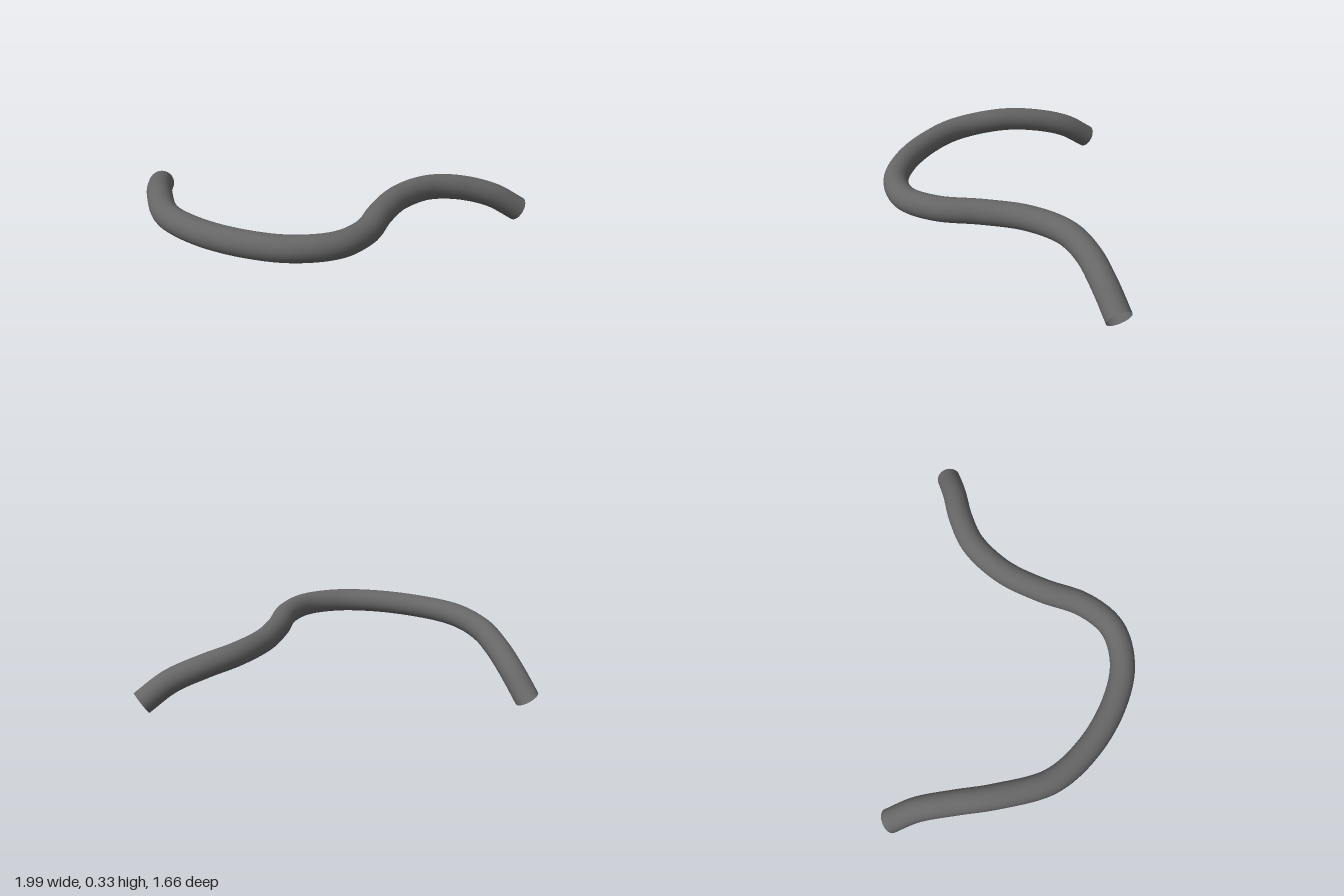
import * as THREE from 'three';

export function createModel() {
  const model = new THREE.Group();
  const darkGrey = new THREE.MeshStandardMaterial({ color: 0x666666, side: THREE.DoubleSide });
  darkGrey.name = 'dark grey';

  // Centre line: an S lying level, with both ends drooping to the ground
  const path = new THREE.CatmullRomCurve3([
    [-0.66, 0.06, -0.788],
    [-0.698, 0.165, -0.64],
    [-0.775, 0.23, -0.46],
    [-0.86, 0.262, -0.26],
    [-0.934, 0.26, 0.03],
    [-0.88, 0.257, 0.29],
    [-0.745, 0.257, 0.535],
    [-0.58, 0.257, 0.695],
    [-0.38, 0.257, 0.76],
    [-0.19, 0.257, 0.7],
    [0.0, 0.257, 0.545],
    [0.2, 0.258, 0.418],
    [0.43, 0.25, 0.36],
    [0.62, 0.222, 0.388],
    [0.8, 0.163, 0.45],
    [0.953, 0.065, 0.498],
  ].map((p) => new THREE.Vector3(...p)), false, 'centripetal');

  // Open-ended hose
  const hose = new THREE.Mesh(new THREE.TubeGeometry(path, 120, 0.067, 24, false), darkGrey);
  hose.name = 'hose';
  model.add(hose);
  return model;
}
